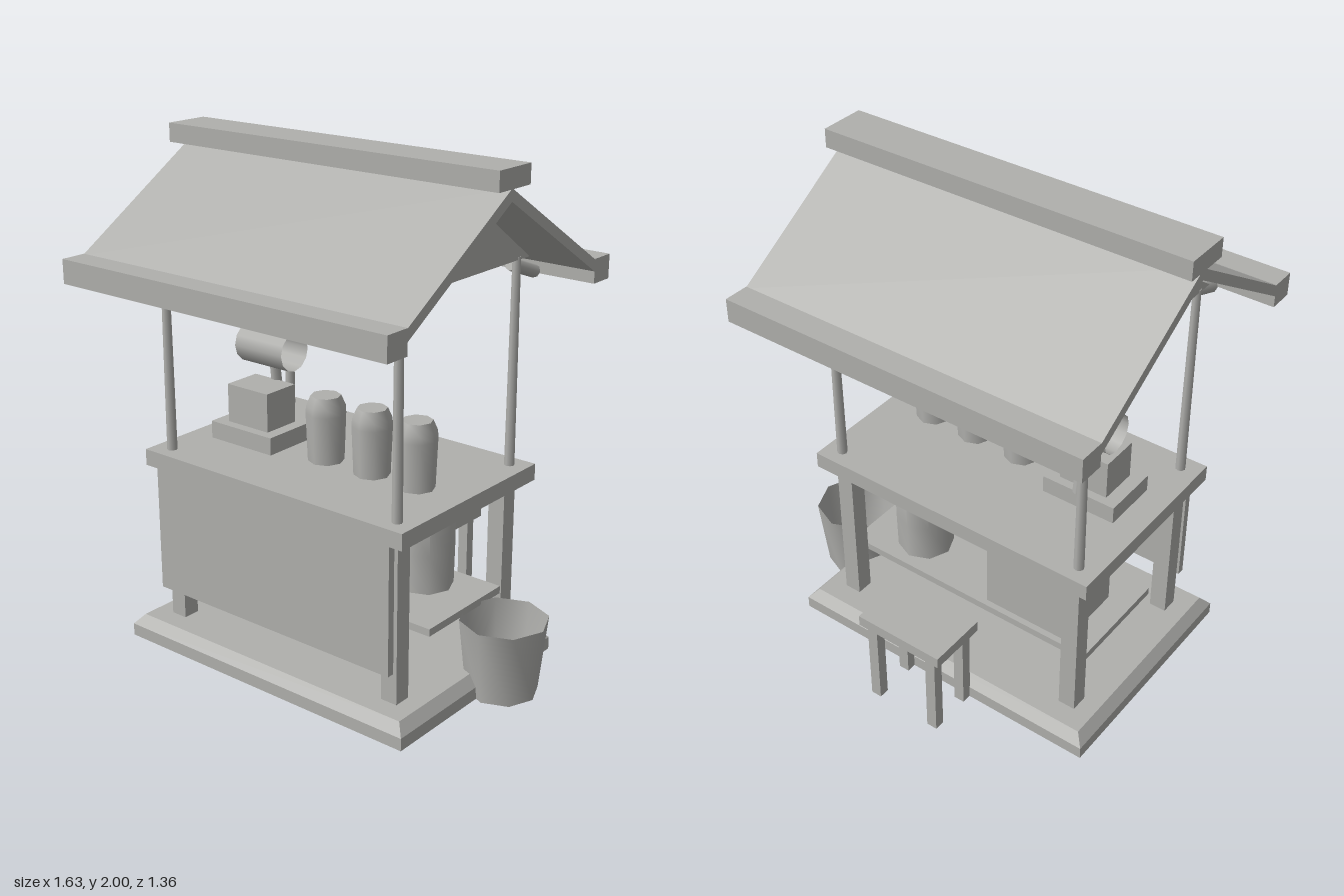
import * as THREE from 'three';
import { toCreasedNormals } from 'three/addons/utils/BufferGeometryUtils.js';

export function createModel() {
  const stall = new THREE.Group();
  stall.name = 'marketStall';
  const grey = new THREE.MeshStandardMaterial({ color: 0xb0b0ad, side: THREE.DoubleSide });
  grey.name = 'plain grey';
  const CX = -0.0625, CZ = 0.0225; // middle of the stall

  const add = (name, geometry, x = 0, y = 0, z = 0) => {
    const mesh = new THREE.Mesh(geometry, grey);
    mesh.name = name;
    mesh.position.set(x, y, z);
    stall.add(mesh);
    return mesh;
  };
  // Box given by its limits on each axis
  const box = (name, x0, x1, y0, y1, z0, z1) =>
    add(name, new THREE.BoxGeometry(x1 - x0, y1 - y0, z1 - z0), (x0 + x1) / 2, (y0 + y1) / 2, (z0 + z1) / 2);
  const lathe = (points, sides) => toCreasedNormals(
    new THREE.LatheGeometry(points.map(([r, y]) => new THREE.Vector2(r, y)), sides), 0.85);
  // Outline in (z, y) extruded along x
  const alongX = (name, points, x0, x1) => {
    const shape = new THREE.Shape(points.map(([z, y]) => new THREE.Vector2(-z, y)));
    const geometry = new THREE.ExtrudeGeometry(shape, { depth: x1 - x0, bevelEnabled: false });
    geometry.rotateY(Math.PI / 2);
    return add(name, geometry, x0, 0, 0);
  };

  // Platform with a sloped upper edge
  box('platform', -0.74, 0.615, 0, 0.05, -0.458, 0.5);
  const rim = new THREE.BoxGeometry(1.355, 0.04, 0.958);
  const p = rim.attributes.position;
  for (let i = 0; i < p.count; i++) {
    if (p.getY(i) > 0) {
      p.setX(i, p.getX(i) - Math.sign(p.getX(i)) * 0.035);
      p.setZ(i, p.getZ(i) - Math.sign(p.getZ(i)) * 0.035);
    }
  }
  rim.computeVertexNormals();
  add('platformRim', rim, -0.0625, 0.07, 0.021);

  // Counter, front panel and lower shelf
  box('counterTop', -0.69, 0.56, 0.73, 0.795, -0.39, 0.435);
  box('frontPanel', -0.63, 0.505, 0.225, 0.73, 0.405, 0.435);
  box('lowerShelf', -0.62, 0.5, 0.28, 0.31, -0.27, 0.185);

  // Legs and roof poles at the four corners
  for (const sx of [-1, 1]) {
    for (const sz of [-1, 1]) {
      const x = CX + sx * 0.5325, z = CZ + sz * 0.3275;
      box('counterLeg', x - 0.035, x + 0.035, 0.08, 0.73, z - 0.035, z + 0.035);
      add('roofPole', new THREE.CylinderGeometry(0.016, 0.02, 0.805, 8), CX + sx * 0.55, 1.1975, CZ + sz * 0.345);
    }
  }

  // Roof: two slopes, ridge beam, eave beams and gables
  alongX('roofSlopes', [
    [CZ + 0.565, 1.575], [CZ, 1.927], [CZ - 0.565, 1.575],
    [CZ - 0.565, 1.53], [CZ, 1.882], [CZ + 0.565, 1.53],
  ], -0.81, 0.685);
  box('ridgeBeam', -0.82, 0.695, 1.927, 2, -0.07, 0.115);
  for (const sz of [-1, 1]) {
    const z = CZ + sz * 0.611;
    box('eaveBeam', -0.81, 0.685, 1.487, 1.58, z - 0.051, z + 0.051);
  }
  for (const x of [CX - 0.55, CX + 0.55]) {
    alongX('gable', [[CZ + 0.41, 1.59], [CZ, 1.88], [CZ - 0.41, 1.59]], x - 0.012, x + 0.012);
  }

  // Short rafter ends under both eaves
  for (const sz of [-1, 1]) {
    for (let i = 0; i < 4; i++) {
      const rafter = add('rafterEnd', new THREE.CylinderGeometry(0.026, 0.026, 0.17, 8),
        CX + (i - 1.5) * 0.337, 1.53, CZ + sz * 0.455);
      rafter.rotation.x = sz * (Math.PI / 2 + 0.35);
    }
  }

  // Jars on the counter
  const jar = lathe([[0, 0], [0.07, 0], [0.077, 0.19], [0.075, 0.22], [0.058, 0.26], [0, 0.26]], 8);
  for (const x of [-0.08, 0.143, 0.35]) add('jar', jar, x, 0.795, 0.075);

  // Counter machine with a leaning neck and an open drum
  box('machineBase', -0.58, -0.27, 0.795, 0.865, -0.055, 0.18);
  box('machineBody', -0.525, -0.32, 0.865, 1.02, -0.02, 0.14);
  const neck = add('machineNeck', new THREE.CylinderGeometry(0.019, 0.023, 0.33, 8), -0.422, 1.027, -0.028);
  neck.rotation.x = 0.12;
  const drum = add('machineDrum', new THREE.CylinderGeometry(0.078, 0.078, 0.24, 12, 1, true), -0.425, 1.157, -0.005);
  drum.rotation.z = Math.PI / 2;

  // Goods on the shelf
  add('barrel', lathe([[0, 0], [0.113, 0], [0.116, 0.155], [0.116, 0.3], [0.109, 0.315], [0, 0.315]], 8),
    0.255, 0.31, -0.115);
  box('crate', -0.52, -0.15, 0.31, 0.59, -0.245, 0.05);

  // Bucket beside the platform
  add('bucket', lathe([[0, 0.004], [0.138, 0], [0.17, 0.295]], 8), 0.645, 0, -0.085);

  // Stool at the back
  box('stoolSeat', -0.25, 0.125, 0.36, 0.405, -0.68, -0.44);
  for (const x of [-0.2, 0.075]) {
    for (const z of [-0.475, -0.645]) {
      box('stoolLeg', x - 0.022, x + 0.022, 0, 0.36, z - 0.021, z + 0.021);
    }
  }
  return stall;
}
